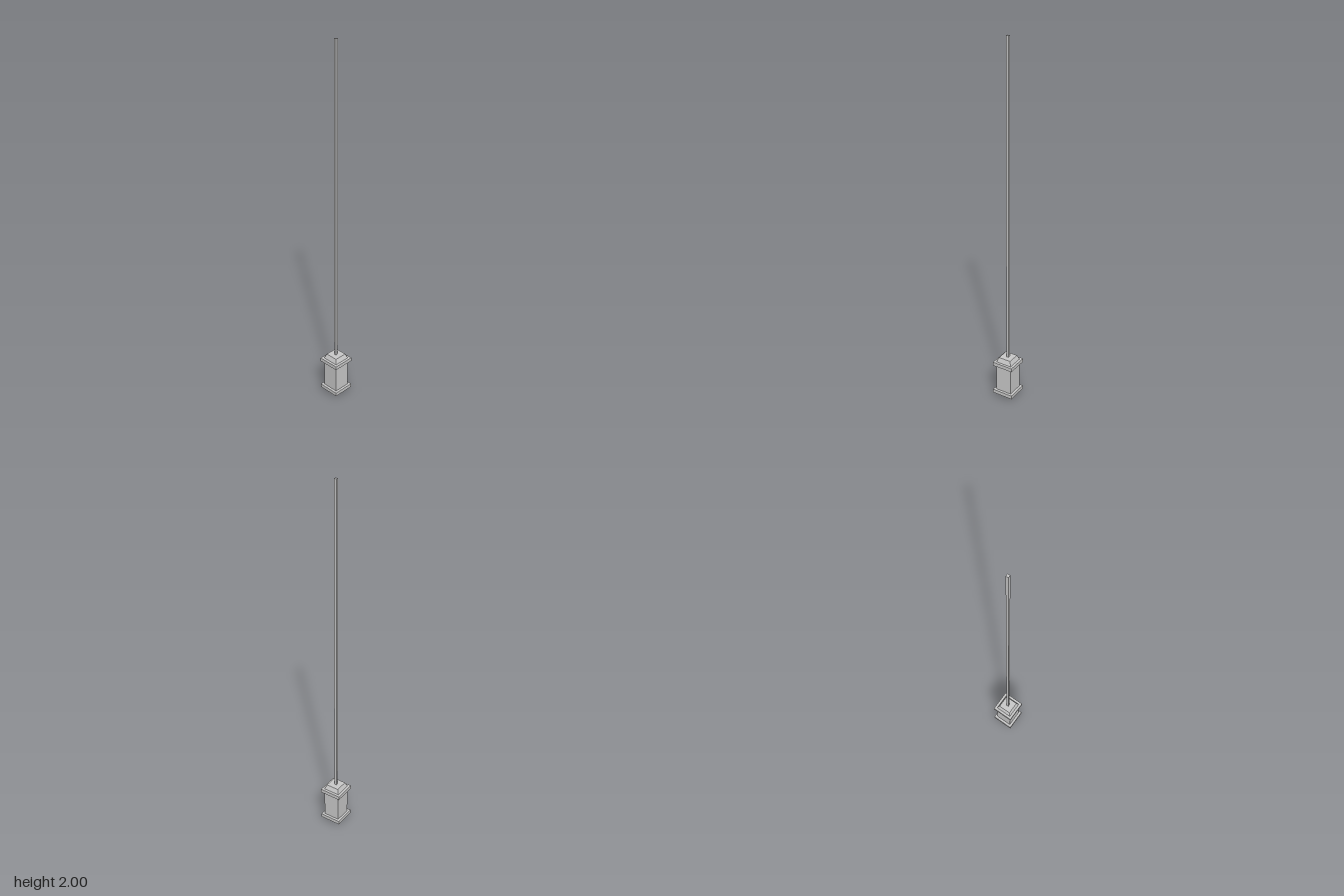
import * as THREE from 'three';

const material = new THREE.MeshStandardMaterial({ color: 0xcccccc, flatShading: true });

// Square block from y0 to y1, with half-widths at its bottom and top
function squareBlock(name, y0, y1, bottom, top = bottom) {
  const geometry = new THREE.CylinderGeometry(top * Math.SQRT2, bottom * Math.SQRT2, y1 - y0, 4);
  geometry.rotateY(Math.PI / 4);
  const mesh = new THREE.Mesh(geometry, material);
  mesh.name = name;
  mesh.position.y = (y0 + y1) / 2;
  return mesh;
}

export function createModel() {
  const model = new THREE.Group();
  model.name = 'poleOnPedestal';
  model.add(
    // Pedestal, from the ground up
    squareBlock('foot', 0, 0.018, 0.037, 0.046),
    squareBlock('lowerPlate', 0.018, 0.039, 0.06),
    squareBlock('pedestalBody', 0.039, 0.197, 0.046),
    squareBlock('upperPlate', 0.197, 0.218, 0.06),
    squareBlock('taperedCap', 0.218, 0.244, 0.046, 0.036),
    // Slender square pole
    squareBlock('pole', 0.244, 2, 0.0068)
  );
  return model;
}
